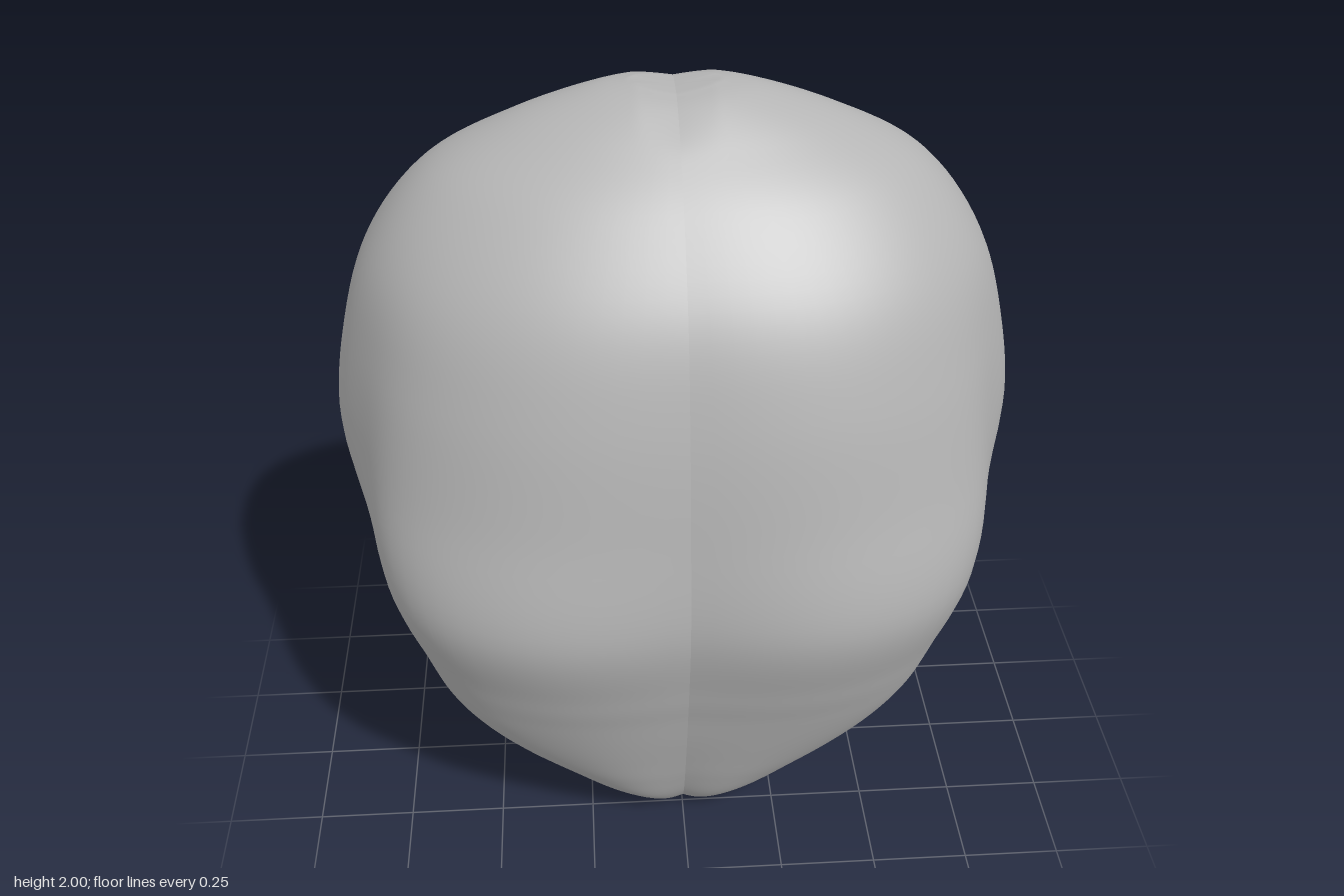
import * as THREE from 'three';

// One row per level: y, half width, front z, back z, z of widest point, waist, front squareness, back squareness, front dip
const LEVELS = [
  [0.00, 0.05, 0.20, 0.155, 0.175, 0, 2.0, 2.0, 0.010],
  [0.03, 0.12, 0.27, 0.12, 0.19, 0, 2.0, 2.0, 0.015],
  [0.10, 0.235, 0.33, 0.075, 0.21, 0, 2.1, 1.9, 0.020],
  [0.20, 0.36, 0.375, -0.01, 0.21, 0, 2.2, 1.75, 0.020],
  [0.30, 0.475, 0.41, -0.14, 0.21, 0, 2.3, 1.75, 0.020],
  [0.40, 0.565, 0.443, -0.30, 0.19, 0, 2.5, 1.85, 0.020],
  [0.50, 0.635, 0.475, -0.40, 0.14, 0, 2.7, 2.2, 0.023],
  [0.62, 0.70, 0.515, -0.485, 0.03, 0.015, 2.9, 2.75, 0.028],
  [0.85, 0.785, 0.575, -0.56, -0.05, 0.025, 2.9, 3.1, 0.038],
  [1.13, 0.85, 0.545, -0.58, -0.08, 0.05, 2.3, 3.0, 0.028],
  [1.40, 0.81, 0.495, -0.535, -0.09, 0.03, 2.2, 2.8, 0.020],
  [1.62, 0.73, 0.415, -0.455, -0.08, 0.01, 2.2, 2.5, 0.010],
  [1.80, 0.59, 0.28, -0.35, -0.07, 0, 2.1, 2.2, 0.005],
  [1.91, 0.40, 0.155, -0.25, -0.06, 0, 2.0, 2.0, 0],
  [1.98, 0.21, 0.055, -0.16, -0.06, 0, 2.0, 2.0, 0],
  [2.00, 0.10, -0.01, -0.11, -0.06, 0, 2.0, 2.0, 0],
];

// Smooth curves through the level values, three columns at a time
const curves = [0, 3, 6].map((c) => new THREE.CatmullRomCurve3(
  LEVELS.map((row) => new THREE.Vector3(row[c], row[c + 1], row[c + 2])), false, 'catmullrom'));

function surfacePoint(t, angle) {
  const [y, w, front, back, zc, waist, nF, nB, dipF] = curves.flatMap((c) => c.getPoint(t).toArray());
  const s = Math.sin(angle), c = Math.cos(angle), n = c > 0 ? nF : nB;
  const r = Math.pow(Math.pow(Math.abs(s), n) + Math.pow(Math.abs(c), n), -1 / n);
  let x = Math.max(0, w * s * r);
  let z = zc + c * r * (c > 0 ? front - zc : zc - back);
  // Shallow valley along the midline, with a full lobe beside it; deeper at the lower back
  const fade = THREE.MathUtils.smoothstep(y, 0, 0.1) * (1 - THREE.MathUtils.smoothstep(y, 1.5, 1.95));
  const dipB = fade * (0.018 + 0.035 * Math.exp(-(((y - 0.2) / 0.15) ** 2)));
  const lobe = 1.4 * Math.sin(Math.min(1, x / (0.55 * w)) * Math.PI / 2) - 1;
  z += c * lobe * (c > 0 ? dipF : dipB);
  // Hollow on the flank
  x *= 1 - waist * Math.exp(-(((z - 0.17) / 0.15) ** 2));
  // Notch between the two crowns
  const notch = 0.015 * THREE.MathUtils.smoothstep(y, 1.9, 2) * Math.max(0, 1 - x / 0.09);
  return [x, Math.max(0, y) - notch, z];
}

// One half of the body, from front midline round to back midline
function halfBody(side) {
  const rows = 105, cols = 48, pos = [], index = [];
  for (let i = 0; i <= rows; i++) {
    for (let j = 0; j <= cols; j++) {
      const [x, y, z] = surfacePoint(i / rows, Math.PI * j / cols);
      pos.push(side * x, y, z);
    }
  }
  const quad = (a, b, c, d) => side > 0 ? index.push(a, b, c, a, c, d) : index.push(a, c, b, a, d, c);
  for (let i = 0; i < rows; i++) {
    for (let j = 0; j < cols; j++) {
      const a = i * (cols + 1) + j;
      quad(a, a + 1, a + cols + 2, a + cols + 1);
    }
  }
  // Close the bottom tip and the crown
  const bottom = pos.length / 3, top = bottom + 1, last = rows * (cols + 1);
  pos.push(0, 0.015, 0.175, 0, 1.985, -0.06);
  for (let j = 0; j < cols; j++) {
    if (side > 0) index.push(bottom, j + 1, j, top, last + j, last + j + 1);
    else index.push(bottom, j, j + 1, top, last + j + 1, last + j);
  }
  const geo = new THREE.BufferGeometry();
  geo.setAttribute('position', new THREE.Float32BufferAttribute(pos, 3));
  geo.setIndex(index);
  geo.computeVertexNormals();
  return geo;
}

export function createModel() {
  const group = new THREE.Group();
  group.name = 'lobedBody';
  const grey = new THREE.MeshStandardMaterial({ color: 0xb4b4b4 });
  grey.name = 'grey';
  for (const [name, side] of [['leftLobe', 1], ['rightLobe', -1]]) {
    const mesh = new THREE.Mesh(halfBody(side), grey);
    mesh.name = name;
    group.add(mesh);
  }
  return group;
}
